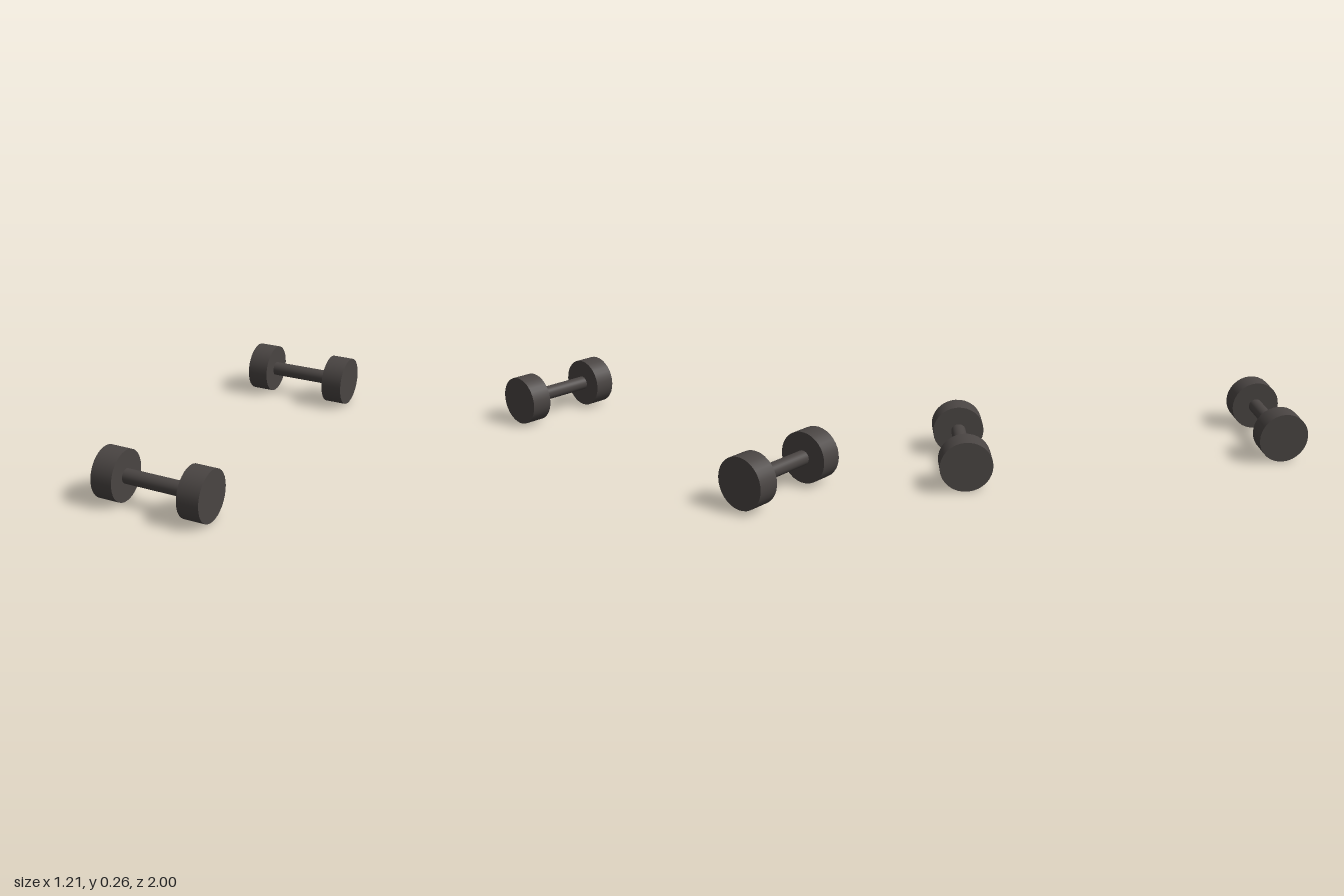
import * as THREE from 'three';

const TILT = THREE.MathUtils.degToRad(20);
const HEAD_R = 0.1325, HEAD_T = 0.116, HALF = 0.292, BAR_R = 0.038;

export function createModel() {
  const iron = new THREE.MeshStandardMaterial({ color: 0x4a4543 });
  iron.name = 'darkIron';

  // Cylinder lying along the x axis
  const rod = (name, radius, length, x) => {
    const geo = new THREE.CylinderGeometry(radius, radius, length, 32).rotateZ(Math.PI / 2);
    const mesh = new THREE.Mesh(geo, iron);
    mesh.name = name;
    mesh.position.x = x;
    return mesh;
  };

  // One dumbbell: handle between two round weights
  const dumbbell = (name, x, z) => {
    const g = new THREE.Group();
    g.name = name;
    g.add(rod('handle', BAR_R, 2 * (HALF - HEAD_T) + 0.02, 0));
    for (const s of [-1, 1]) {
      g.add(rod(s > 0 ? 'leftWeight' : 'rightWeight', HEAD_R, HEAD_T, s * (HALF - HEAD_T / 2)));
    }
    g.position.set(x, HEAD_R, z);
    g.rotation.y = TILT;
    return g;
  };

  const model = new THREE.Group();
  model.name = 'dumbbellPair';
  model.add(dumbbell('frontDumbbell', 0.285, 0.776), dumbbell('backDumbbell', -0.285, -0.776));
  return model;
}
